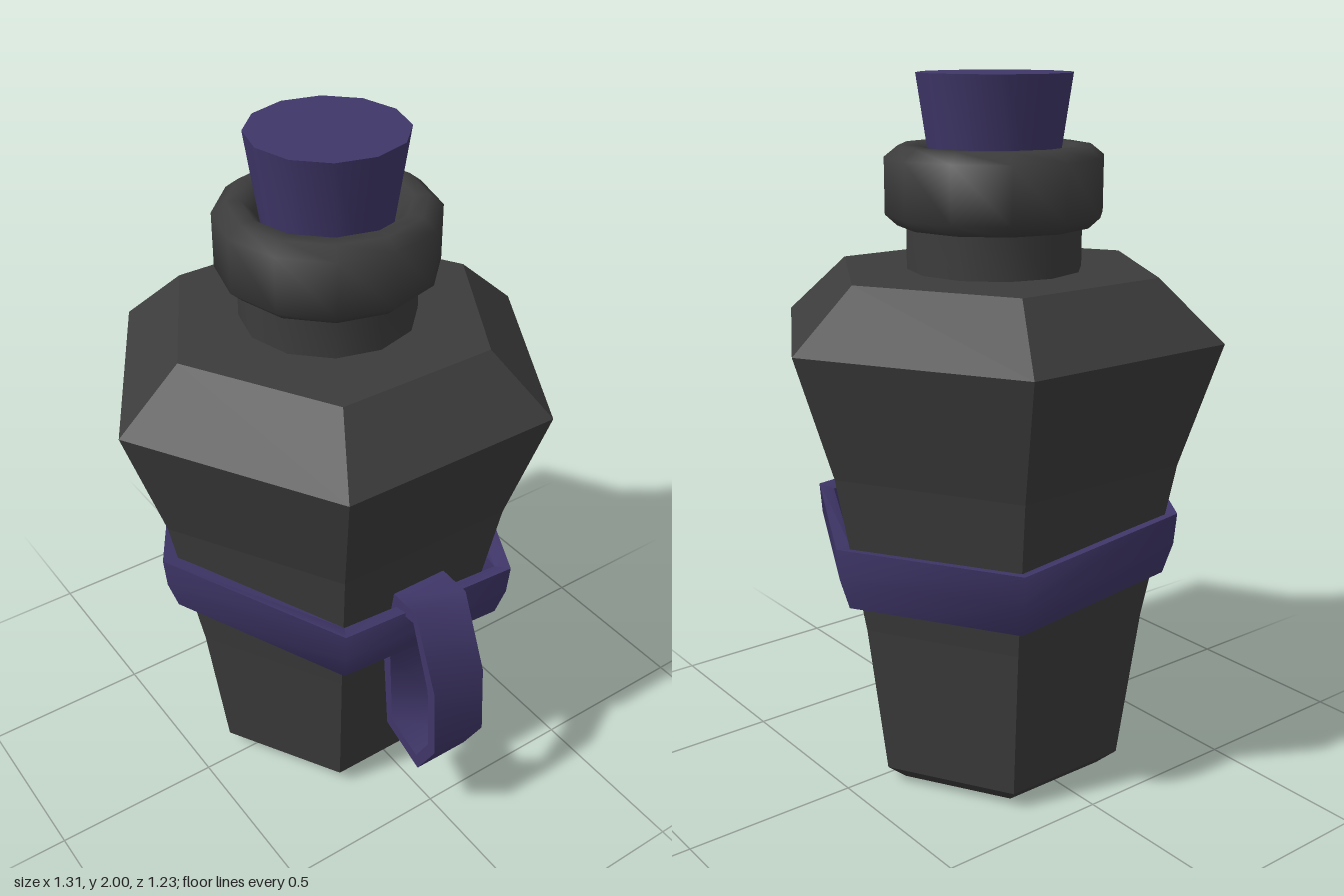
import * as THREE from 'three';
import { toCreasedNormals } from 'three/addons/utils/BufferGeometryUtils.js';

const AXIS_Z = -0.047; // bottle axis

const glass = new THREE.MeshStandardMaterial({ color: 0x3c3c3c });
const purple = new THREE.MeshStandardMaterial({ color: 0x3f3668 });

// Faceted solid of revolution with a vertex on the x axis
function turned(name, profile, sides, material, crease) {
  const points = profile.map(([r, y]) => new THREE.Vector2(r, y));
  const lathe = new THREE.LatheGeometry(points, sides, Math.PI / 2);
  const mesh = new THREE.Mesh(toCreasedNormals(lathe, crease), material);
  mesh.name = name;
  mesh.position.z = AXIS_Z;
  return mesh;
}

// Closed strap: every section is a ring of points, joined to the next section
function strap(name, sections, material) {
  const n = sections.length, m = sections[0].length, index = [];
  for (let i = 0; i < n; i++) {
    for (let j = 0; j < m; j++) {
      const a = i * m + j, b = i * m + (j + 1) % m;
      const c = ((i + 1) % n) * m + j, d = ((i + 1) % n) * m + (j + 1) % m;
      index.push(a, b, c, b, d, c);
    }
  }
  const geometry = new THREE.BufferGeometry();
  geometry.setAttribute('position', new THREE.Float32BufferAttribute(sections.flat(2), 3));
  geometry.setIndex(index);
  const mesh = new THREE.Mesh(toCreasedNormals(geometry, 1.15), material);
  mesh.name = name;
  return mesh;
}

export function createModel() {
  const model = new THREE.Group();
  model.name = 'bottle';

  // Six-sided body
  model.add(turned('body', [
    [0, 0], [0.33, 0], [0.39, 0.05], [0.45, 0.5], [0.54, 0.96],
    [0.655, 1.31], [0.47, 1.475], [0, 1.475],
  ], 6, glass, 0.01));

  // Neck and rounded lip
  model.add(turned('neck', [[0.245, 1.46], [0.245, 1.62]], 12, glass, 0.6));
  model.add(turned('lip', [
    [0.2, 1.595], [0.27, 1.595], [0.303, 1.625], [0.303, 1.78],
    [0.265, 1.81], [0.225, 1.81], [0.195, 1.78], [0.18, 1.72], [0, 1.72],
  ], 12, glass, 1.0));

  // Tapered stopper
  model.add(turned('stopper', [[0, 1.7], [0.17, 1.7], [0.215, 2], [0, 2]], 12, purple, 0.6));

  // Slanted belt, corners listed by angle from the front: [degrees, top radius, top height]
  const corners = [
    [-30, 0.58, 0.805], [30, 0.58, 0.765], [90, 0.542, 0.762],
    [150, 0.546, 0.768], [210, 0.546, 0.82], [270, 0.565, 0.855],
  ];
  model.add(strap('belt', corners.map(([deg, r, y]) => {
    const a = THREE.MathUtils.degToRad(deg);
    const at = (radius, h) => [radius * Math.sin(a), h, AXIS_Z + radius * Math.cos(a)];
    return [at(r, y), at(r - 0.008, y - 0.09), at(r - 0.037, y - 0.18),
      at(r - 0.085, y - 0.17), at(r - 0.05, y - 0.01)];
  }), purple));

  // Hanging loop: [outer z, outer y, inner z, inner y]
  const loop = [
    [0.5, 0.815, 0.49, 0.78], [0.597, 0.59, 0.567, 0.58], [0.613, 0.37, 0.582, 0.38],
    [0.54, 0.24, 0.53, 0.285], [0.387, 0.3, 0.41, 0.33], [0.36, 0.58, 0.392, 0.57],
    [0.4, 0.82, 0.428, 0.775],
  ];
  model.add(strap('hangingLoop', loop.map(([oz, oy, iz, iy]) => [
    [0.083, oy, oz], [-0.09, oy, oz], [-0.09, iy, iz], [0.083, iy, iz],
  ]), purple));

  return model;
}
